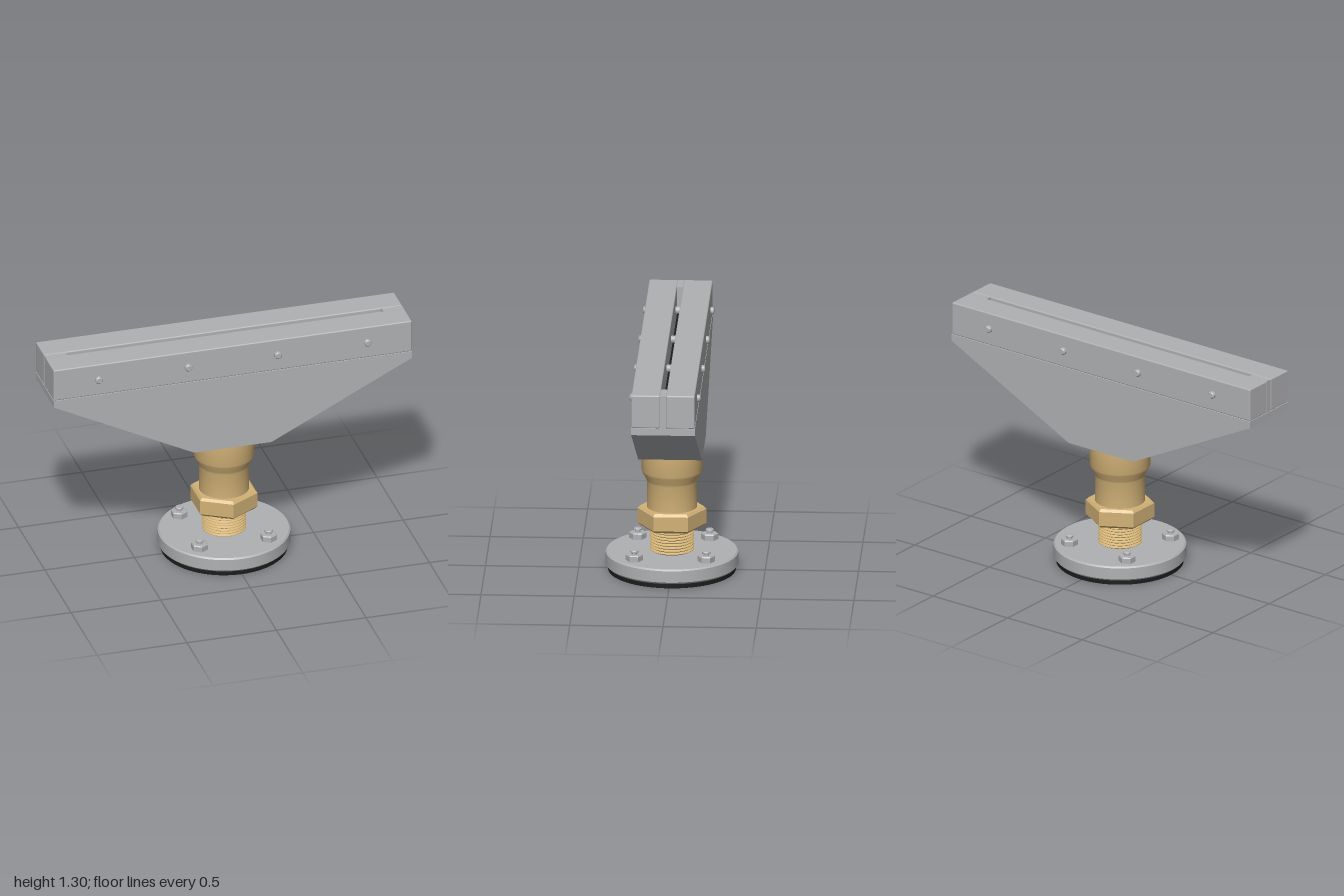
import * as THREE from 'three';
import { toCreasedNormals } from 'three/addons/utils/BufferGeometryUtils.js';
import { RoundedBoxGeometry } from 'three/addons/geometries/RoundedBoxGeometry.js';

const paint = (name, color) => {
  const m = new THREE.MeshStandardMaterial({ color });
  m.name = name;
  return m;
};

// Turned solid from [radius, height] pairs, bottom to top; 6 sides give a hex nut.
function turned(profile, sides = 64) {
  const pts = profile.map(([r, y]) => new THREE.Vector2(r, y));
  return toCreasedNormals(new THREE.LatheGeometry(pts, sides), 0.35);
}

export function createModel() {
  const model = new THREE.Group();
  model.name = 'levellingSupport';
  const steel = paint('steel grey', 0xb0b1b3);
  const brass = paint('brass', 0xd2b277);
  const rubber = paint('black rubber', 0x1c1c1c);

  const add = (name, geometry, material, x = 0, y = 0, z = 0) => {
    const mesh = new THREE.Mesh(geometry, material);
    mesh.name = name;
    mesh.position.set(x, y, z);
    model.add(mesh);
    return mesh;
  };

  // Foot: rubber pad under a chamfered disc
  add('footPad', turned([[0, 0], [0.342, 0], [0.342, 0.03], [0, 0.03]], 72), rubber);
  add('footDisc', turned([[0, 0.025], [0.345, 0.025], [0.356, 0.036], [0.356, 0.1],
    [0.348, 0.108], [0, 0.108]], 72), steel);

  // Four nuts with stud ends on the foot
  const footNut = turned([[0, 0], [0.046, 0], [0.046, 0.029], [0.041, 0.034], [0, 0.034]], 6);
  const stud = turned([[0.016, 0.03], [0.016, 0.042], [0.022, 0.045], [0.022, 0.053], [0.018, 0.057], [0, 0.057]], 20);
  for (const x of [-0.193, 0.193]) {
    for (const z of [-0.193, 0.193]) {
      add('footNut', footNut, steel, x, 0.108, z);
      add('footStud', stud, steel, x, 0.108, z);
    }
  }

  // Threaded spindle
  const thread = [[0, 0.1]];
  const turns = 9, pitch = 0.016;
  for (let i = 0; i < turns; i++) {
    const y = 0.108 + i * pitch;
    thread.push([0.107, y], [0.118, y + pitch * 0.4], [0.118, y + pitch * 0.6]);
  }
  thread.push([0.107, 0.108 + turns * pitch], [0, 0.26]);
  add('threadedSpindle', turned(thread, 48), brass);

  // Lock nut and flared socket
  add('lockNut', turned([[0, 0.247], [0.172, 0.247], [0.185, 0.26], [0.185, 0.34],
    [0.172, 0.354], [0, 0.354]], 6), brass);
  add('socket', turned([[0, 0.35], [0.135, 0.35], [0.135, 0.5], [0.139, 0.512], [0.159, 0.55],
    [0.163, 0.562], [0.163, 0.69], [0, 0.69]]), brass);

  // Tapered beam
  const outline = new THREE.Shape([[-0.215, 0.683], [0.215, 0.683], [1, 1.077], [1, 1.115], [-1, 1.115], [-1, 1.077]]
    .map(([x, y]) => new THREE.Vector2(x, y)));
  const beam = new THREE.ExtrudeGeometry(outline, { depth: 0.342, bevelEnabled: false });
  add('taperedBeam', beam, steel, 0, 0, -0.171);

  // Pair of clamping rails
  for (const side of [1, -1]) {
    add('clampRail', new RoundedBoxGeometry(2, 0.184, 0.154, 2, 0.007), steel, 0, 1.208, side * 0.093);
  }

  // Spacers at the ends of the slot, dark strip between them
  for (const side of [1, -1]) {
    add('endSpacer', new THREE.BoxGeometry(0.116, 0.184, 0.034), steel, side * 0.94, 1.206, 0);
  }
  add('slotStrip', new THREE.BoxGeometry(1.764, 0.03, 0.034), rubber, 0, 1.13, 0);

  // Screws through both rails
  const screw = turned([[0, -0.19], [0.015, -0.19], [0.02, -0.184], [0.02, 0.184],
    [0.015, 0.19], [0, 0.19]], 24);
  screw.rotateX(Math.PI / 2);
  for (const x of [-0.75, -0.25, 0.25, 0.75]) {
    add('railScrew', screw, steel, x, 1.21, 0);
  }

  return model;
}
